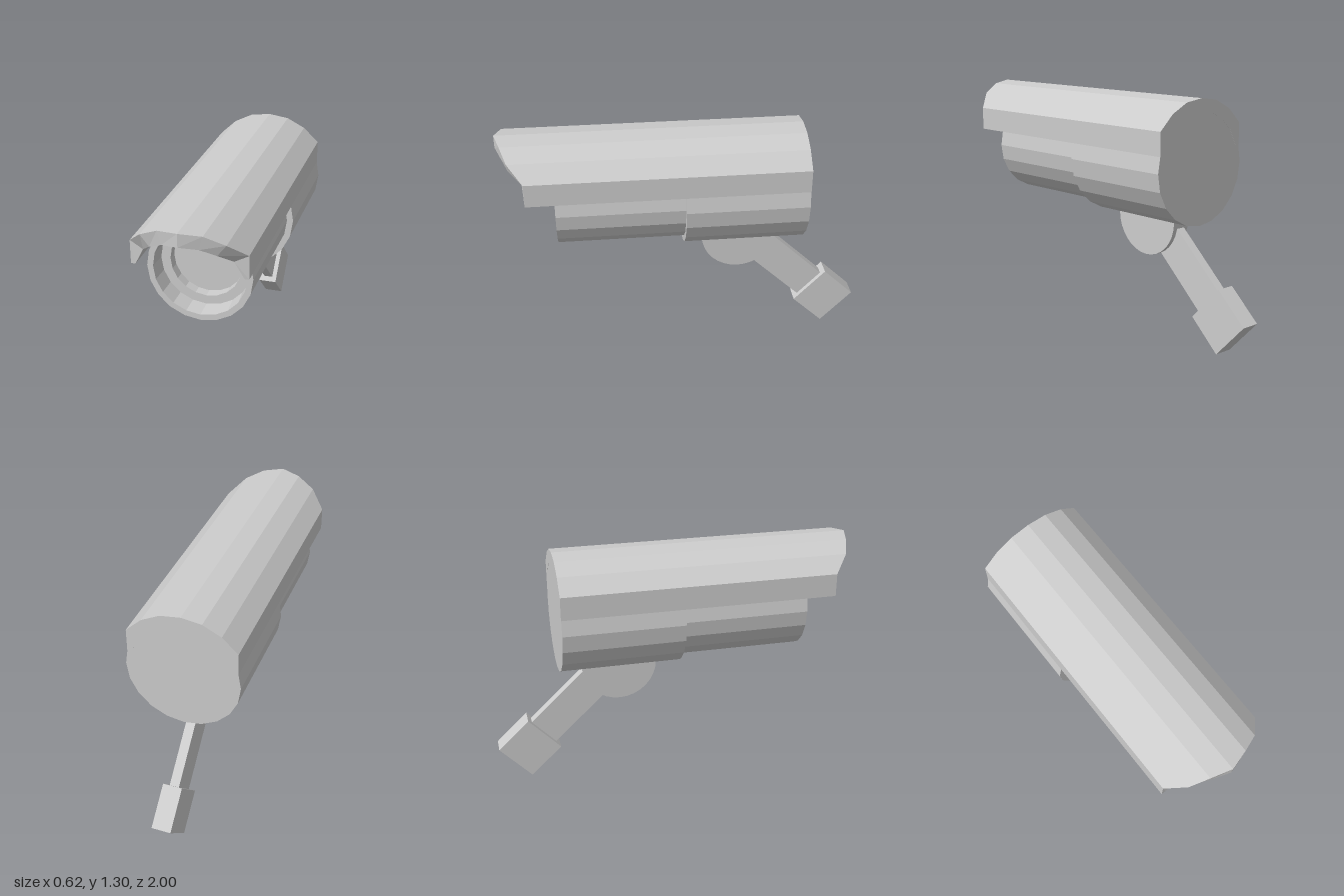
import * as THREE from 'three';

const material = new THREE.MeshStandardMaterial({ color: 0xcccccc, flatShading: true });

function add(group, name, geometry) {
  const mesh = new THREE.Mesh(geometry, material);
  mesh.name = name;
  group.add(mesh);
  return mesh;
}

// Faceted body of revolution along z, profile given as [radius, z] from back to front
function turned(group, name, profile) {
  const points = profile.map(([r, z]) => new THREE.Vector2(r, z));
  const mesh = add(group, name, new THREE.LatheGeometry(points, 20));
  mesh.rotation.x = Math.PI / 2;
  mesh.position.y = 0.95;
  return mesh;
}

// Thick sunshade: constant section along z, with a raked front edge
function hoodGeometry() {
  // Half sections from the side edge up to the crown: x, y, front z
  const outerHalf = [[0.295, 1.035, 0.85], [0.295, 1.16, 0.85], [0.21, 1.24, 0.93], [0.11, 1.29, 0.967], [0, 1.305, 1]];
  const innerHalf = [[0.272, 1.035, 0.85], [0.225, 1.125, 0.86], [0.165, 1.182, 0.93], [0.09, 1.22, 0.967], [0, 1.235, 1]];
  const mirror = (half) => [...half, ...half.slice(0, -1).reverse().map(([x, y, z]) => [-x, y, z])];
  const outer = mirror(outerHalf);
  const inner = mirror(innerHalf);
  const back = ([x, y]) => [x, y, -0.645];
  const positions = [];
  const quad = (a, b, c, d) => positions.push(...a, ...b, ...c, ...a, ...c, ...d);

  for (let i = 0; i < outer.length - 1; i++) {
    const [o, p, n, m] = [outer[i], outer[i + 1], inner[i], inner[i + 1]];
    quad(back(o), back(p), p, o); // outside
    quad(back(m), back(n), n, m); // underside
    quad(o, p, m, n); // front edge
    quad(back(n), back(m), back(p), back(o)); // back edge
  }
  // Lower side edges
  const e = outer.length - 1;
  quad(back(inner[0]), back(outer[0]), outer[0], inner[0]);
  quad(back(outer[e]), back(inner[e]), inner[e], outer[e]);

  const geometry = new THREE.BufferGeometry();
  geometry.setAttribute('position', new THREE.Float32BufferAttribute(positions, 3));
  geometry.computeVertexNormals();
  return geometry;
}

export function createModel() {
  const model = new THREE.Group();
  model.name = 'securityCamera';

  // Housing and lens barrel with its stepped recess
  turned(model, 'rearHousing', [[0, -0.644], [0.308, -0.644], [0.308, 0.015], [0, 0.015]]);
  turned(model, 'lensBarrel', [
    [0.274, 0], [0.274, 0.7], [0.243, 0.7], [0.236, 0.6], [0.187, 0.6], [0.185, 0.55], [0, 0.55],
  ]);

  add(model, 'sunHood', hoodGeometry());

  // Pivot disc, its upper half sunk into the housing
  const pivot = add(model, 'pivotDisc', new THREE.CylinderGeometry(0.208, 0.208, 0.106, 32));
  pivot.rotation.z = Math.PI / 2;
  pivot.position.set(0, 0.645, -0.305);

  // Sloping arm and wall block, built along z and tilted together
  const bracket = new THREE.Group();
  bracket.name = 'wallBracket';
  bracket.position.set(0, 0.176, -0.826);
  bracket.rotation.x = -0.76;
  model.add(bracket);
  add(bracket, 'wallBlock', new THREE.BoxGeometry(0.106, 0.255, 0.236));
  const arm = add(bracket, 'bracketArm', new THREE.BoxGeometry(0.052, 0.19, 0.46));
  arm.position.z = 0.118 + 0.225;

  return model;
}
